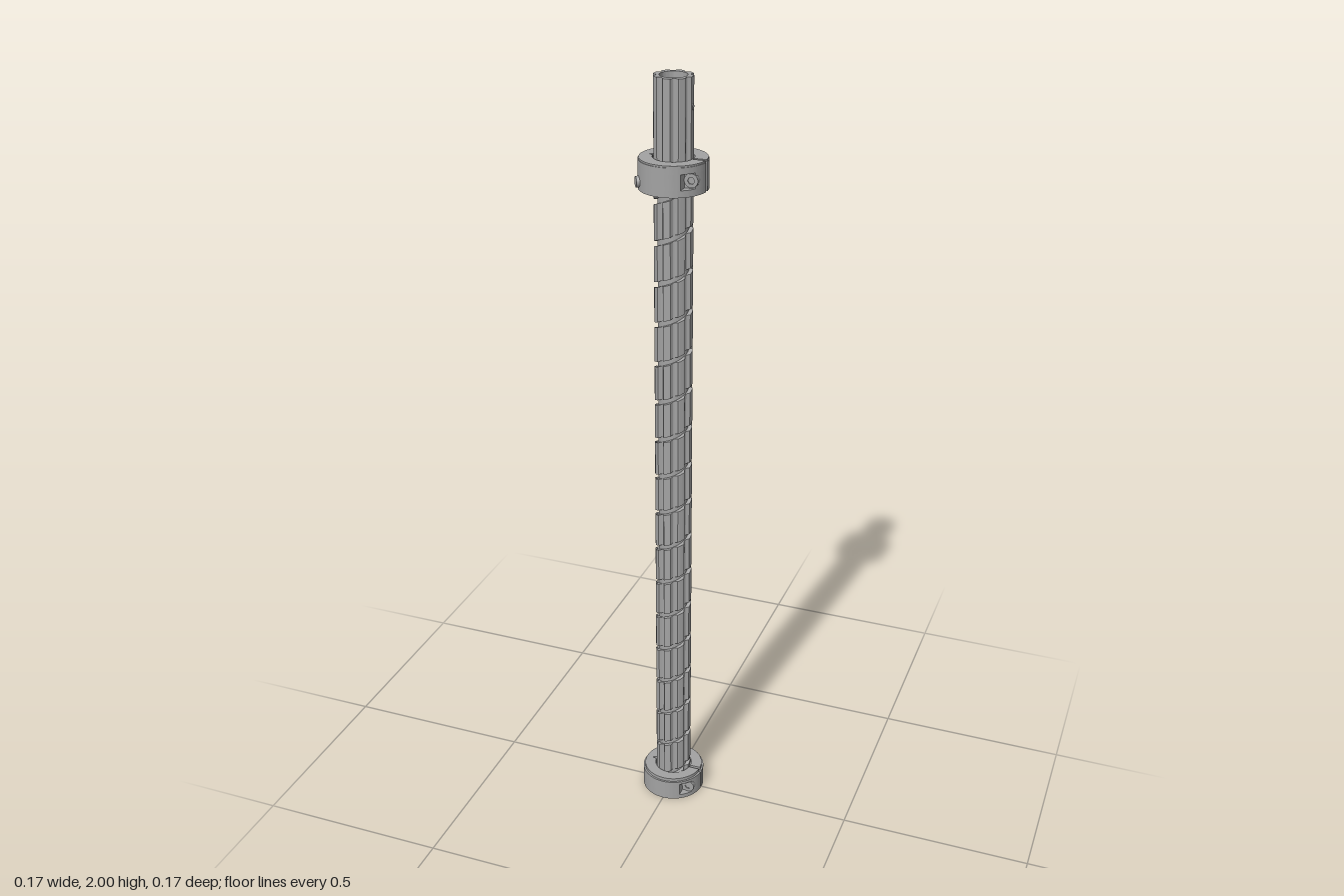
import * as THREE from 'three';
import { toCreasedNormals } from 'three/addons/utils/BufferGeometryUtils.js';

const TAU = Math.PI * 2;
const R = 0.048, BORE = 0.033;            // shaft outer and bore radius
const PITCH = 0.104, GROOVE_W = 0.014, GROOVE_D = 0.008;
const Y0 = 0.05, Y1 = 1.75;               // spiralled span

// Shaft radius at an angle, with eight shallow flutes
function shaftRadius(a) {
  const d = ((a % (TAU / 8)) + TAU / 8) % (TAU / 8) - TAU / 16;
  const t = d / 0.2;
  return R - 0.008 * Math.max(0, 1 - t * t);
}

// Upright extrusion of a contour given as [x, z] points
function extrudeUp(points, y0, y1, holeRadius = 0) {
  const shape = new THREE.Shape(points.map(([x, z]) => new THREE.Vector2(x, -z)));
  if (holeRadius) shape.holes.push(new THREE.Path().absarc(0, 0, holeRadius, 0, TAU, true));
  const g = new THREE.ExtrudeGeometry(shape, { depth: y1 - y0, bevelEnabled: false, curveSegments: 32 });
  return toCreasedNormals(g.rotateX(-Math.PI / 2).translate(0, y0, 0), 0.5);
}

// Fluted tube cut by a helical groove
function spiralShaft() {
  const profile = [[0, 0], [0, GROOVE_D], [GROOVE_W, GROOVE_D], [GROOVE_W, 0], [PITCH, 0]];
  const steps = 96, pos = [];
  const total = Math.ceil((Y1 - Y0) / PITCH + 2) * steps;
  const point = (i, [v, depth]) => {
    const a = i / steps * TAU;
    const r = depth ? R - depth - 0.002 : shaftRadius(a);
    const y = Y0 - 2 * PITCH + i / steps * PITCH + v;
    return [r * Math.sin(a), THREE.MathUtils.clamp(y, Y0, Y1), r * Math.cos(a)];
  };
  for (let i = 0; i < total; i++) {
    for (let j = 0; j < profile.length - 1; j++) {
      const a = point(i, profile[j]), b = point(i + 1, profile[j]);
      const c = point(i + 1, profile[j + 1]), d = point(i, profile[j + 1]);
      const ys = [a[1], b[1], c[1], d[1]];
      if (Math.max(...ys) <= Y0 || Math.min(...ys) >= Y1) continue;
      pos.push(...a, ...b, ...c, ...a, ...c, ...d);
    }
  }
  const g = new THREE.BufferGeometry();
  g.setAttribute('position', new THREE.Float32BufferAttribute(pos, 3));
  return toCreasedNormals(g, 0.35);
}

// Split ring contour: slit at +x, relief notch at -x, optional screw pocket
function collarContour(outer, bore, pocket) {
  const pts = [], n = 96, slit = 0.008;
  const o0 = Math.asin(slit / outer), i0 = Math.asin(slit / bore);
  let cut = false;
  for (let k = 0; k <= n; k++) {
    const a = o0 + (TAU - o0) * k / n;
    const x = outer * Math.cos(a), z = outer * Math.sin(a);
    if (pocket && x > 0.044 && z > 0.045) {
      if (!cut) pts.push([Math.sqrt(outer ** 2 - 0.045 ** 2), 0.045], [0.044, 0.045], [0.044, Math.sqrt(outer ** 2 - 0.044 ** 2)]);
      cut = true;
    } else pts.push([x, z]);
  }
  for (let k = 0; k <= n; k++) {
    const a = TAU - (TAU - i0) * k / n;
    const r = Math.abs(a - Math.PI) < 0.08 ? 0.06 : bore;
    pts.push([r * Math.cos(a), r * Math.sin(a)]);
  }
  return pts;
}

export function createModel() {
  const model = new THREE.Group();
  model.name = 'splitCollarShaft';
  const steel = new THREE.MeshStandardMaterial({ color: 0xa3a3a3 });
  steel.name = 'grey steel';
  const add = (parent, name, geometry) => {
    const mesh = new THREE.Mesh(geometry, steel);
    mesh.name = name;
    parent.add(mesh);
    return mesh;
  };

  // Shaft
  const section = Array.from({ length: 128 }, (_, i) => {
    const a = i / 128 * TAU, r = shaftRadius(a);
    return [r * Math.sin(a), r * Math.cos(a)];
  });
  add(model, 'shaftFoot', extrudeUp(section, 0, Y0, BORE));
  add(model, 'spiralShaft', spiralShaft());
  add(model, 'shaftHead', extrudeUp(section, Y1, 2, BORE));
  add(model, 'boreWall', new THREE.LatheGeometry([new THREE.Vector2(BORE, Y1), new THREE.Vector2(BORE, Y0)], 48));

  // Cross hole rim near the top of the shaft
  const pin = add(model, 'pinHole', new THREE.TorusGeometry(0.006, 0.0015, 8, 20));
  pin.position.set(R - 0.001, 1.93, 0);
  pin.rotation.y = Math.PI / 2;

  // Clamp collars: layers are [bottom, top, outer radius, bore, pocket]
  function collar(name, layers, screwY) {
    const group = new THREE.Group();
    group.name = name;
    for (const [b, t, outer, bore, pocket] of layers)
      add(group, 'splitRing', extrudeUp(collarContour(outer, bore, pocket), b, t));

    // Socket screw across the slit
    const head = new THREE.Shape().absarc(0, 0, 0.017, 0, TAU);
    head.holes.push(new THREE.Path(Array.from({ length: 6 }, (_, i) =>
      new THREE.Vector2(0.009 * Math.cos(-i * TAU / 6), 0.009 * Math.sin(-i * TAU / 6)))));
    const screw = add(group, 'clampScrew', toCreasedNormals(
      new THREE.ExtrudeGeometry(head, { depth: 0.016, bevelEnabled: false, curveSegments: 24 }), 0.5));
    screw.position.set(0.061, screwY, 0.032);

    // Threaded exit at the back
    const exit = add(group, 'threadHole', new THREE.TorusGeometry(0.007, 0.0015, 8, 20));
    exit.position.set(0.061, screwY, -0.0575);
    exit.rotation.y = Math.PI * 0.76;
    model.add(group);
    return group;
  }
  collar('lowerCollar', [
    [0, 0.012, 0.084, 0.062, false],
    [0.012, 0.048, 0.084, 0.05, true],
    [0.048, 0.056, 0.084, 0.05, false],
    [0.056, 0.065, 0.079, 0.05, false],
  ], 0.03);
  const upper = collar('upperCollar', [
    [1.735, 1.752, 0.084, 0.06, false],
    [1.752, 1.79, 0.084, 0.05, true],
    [1.79, 1.806, 0.084, 0.05, false],
    [1.806, 1.81, 0.082, 0.05, false],
  ], 1.771);

  // Radial set screws on the upper collar
  for (const [x, z] of [[-0.83, 0.55], [-0.54, -0.84]]) {
    const g = new THREE.CylinderGeometry(0.013, 0.016, 0.03, 24);
    const dir = new THREE.Vector3(x, 0, z).normalize();
    const screw = add(upper, 'setScrew', g);
    screw.quaternion.setFromUnitVectors(new THREE.Vector3(0, 1, 0), dir);
    screw.position.copy(dir).multiplyScalar(0.076).setY(1.755);
  }
  return model;
}
